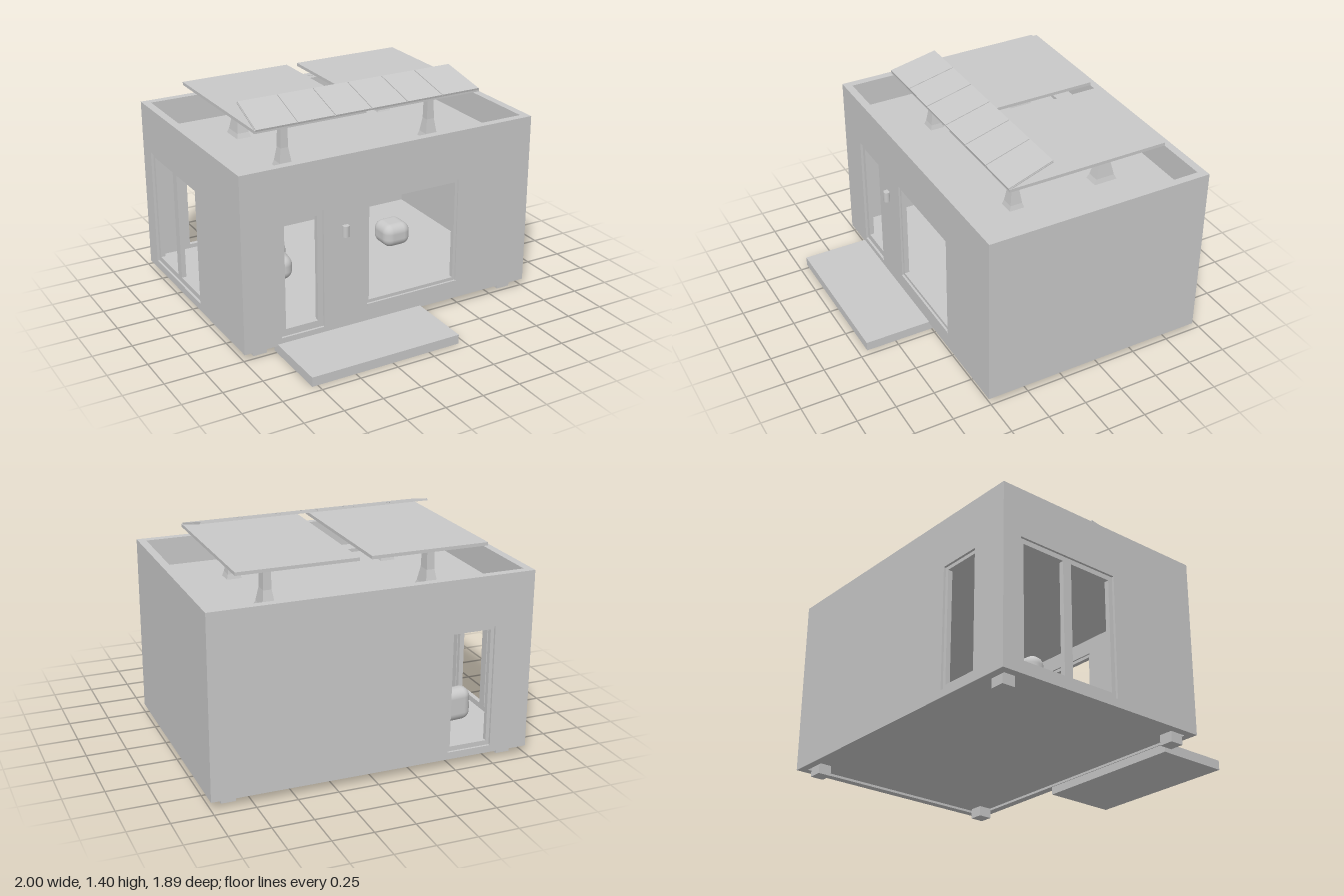
import * as THREE from 'three';
import { RoundedBoxGeometry } from 'three/addons/geometries/RoundedBoxGeometry.js';

export function createModel() {
  const model = new THREE.Group();
  const grey = new THREE.MeshStandardMaterial({ color: 0xc8c8c8 });
  grey.name = 'plainGrey';

  const add = (name, geometry, x = 0, y = 0, z = 0, parent = model) => {
    const mesh = new THREE.Mesh(geometry, grey);
    mesh.name = name;
    mesh.position.set(x, y, z);
    parent.add(mesh);
    return mesh;
  };

  // Box given by its limits on each axis
  const box = (name, [x0, x1], [y0, y1], [z0, z1]) =>
    add(name, new THREE.BoxGeometry(x1 - x0, y1 - y0, z1 - z0), (x0 + x1) / 2, (y0 + y1) / 2, (z0 + z1) / 2);

  const trace = (path, [x0, x1, y0, y1]) => {
    path.moveTo(x0, y0);
    path.lineTo(x1, y0);
    path.lineTo(x1, y1);
    path.lineTo(x0, y1);
    path.closePath();
    return path;
  };

  // Upright slab with rectangular openings, extruded along +z
  const slab = (rect, holes, depth) => {
    const shape = trace(new THREE.Shape(), rect);
    for (const hole of holes) shape.holes.push(trace(new THREE.Path(), hole));
    return new THREE.ExtrudeGeometry(shape, { depth, bevelEnabled: false });
  };

  // Walls, running up past the roof as a parapet
  const base = 0.05, top = 1.175, t = 0.05;
  const front = 0.515, back = -0.945;
  const door = [-0.755, -0.47, 0.095, 0.86];
  const picture = [-0.175, 0.47, 0.165, 0.86];
  const sliding = [-0.82, -0.12, 0.1, 0.87];
  add('frontWall', slab([-1, 1, base, top], [door, picture], t), 0, 0, front - t);
  add('backWall', slab([-1, 1, base, top], [door], t), 0, 0, back);
  const side = [back + t, front - t, base, top];
  add('leftWall', slab(side, [], t), 1).rotation.y = -Math.PI / 2;
  add('rightWall', slab(side, [sliding], t), -1 + t).rotation.y = -Math.PI / 2;

  // Roof deck and floor
  box('roof', [-0.95, 0.95], [0.96, 1.0], [back + t, front - t]);
  box('floor', [-0.95, 0.95], [0.065, 0.1], [back + t, front - t]);

  // Door and window frames, set a little behind the wall faces
  const inset = ([x0, x1, y0, y1], side, low, high) => [x0 + side, x1 - side, y0 + low, y1 - high];
  add('doorFrame', slab(door, [inset(door, 0.035, 0.045, 0.035)], 0.03), 0, 0, front - 0.045);
  add('pictureWindowFrame', slab(picture, [inset(picture, 0.018, 0.028, 0.02)], 0.03), 0, 0, front - 0.04);
  add('backWindowFrame', slab(door, [inset(door, 0.022, 0.03, 0.022)], 0.03), 0, 0, back + 0.015);
  const mid = (sliding[0] + sliding[1]) / 2;
  const panes = [[sliding[0], mid], [mid, sliding[1]]].map(([a, b]) =>
    inset([a, b, sliding[2], sliding[3]], 0.03, 0.035, 0.03));
  add('slidingDoorFrame', slab(sliding, panes, 0.03), -0.955).rotation.y = -Math.PI / 2;
  box('windowSill', [-0.175, 0.475], [0.155, 0.172], [front - 0.04, front + 0.004]);

  // Wall lamp
  add('wallLamp', new THREE.CylinderGeometry(0.021, 0.021, 0.07, 20), -0.33, 0.7, front + 0.014);

  // Entrance step and feet
  box('entranceDeck', [-0.785, 0.21], [0, 0.06], [0.47, 0.945]);
  for (const x of [-0.88, 0.88]) {
    box('frontFoot', [x - 0.045, x + 0.045], [0, 0.07], [0.38, 0.47]);
    box('backFoot', [x - 0.045, x + 0.045], [0, 0.07], [-0.885, -0.8]);
  }

  // Square posts with flared bases, tied by rails
  const profile = [[0.068, 0], [0.055, 0.03], [0.036, 0.12], [0.031, 0.285]];
  let post = new THREE.LatheGeometry(profile.map(([r, y]) => new THREE.Vector2(r, y)), 4);
  post.rotateY(Math.PI / 4);
  post = post.toNonIndexed();
  post.computeVertexNormals();
  for (const x of [-0.515, 0.515]) {
    add('frontPost', post, x, 1.0, 0.093);
    add('backPost', post, x, 1.0, -0.52).scale.z = 1.6;
    box('sideRail', [x - 0.025, x + 0.025], [1.28, 1.3], [-0.56, 0.115]);
  }
  for (const z of [0.093, -0.52]) box('crossRail', [-0.635, 0.635], [1.28, 1.3], [z - 0.02, z + 0.02]);

  // Two flat roof panels
  for (const s of [-1, 1]) {
    add('flatPanel', new THREE.BoxGeometry(0.738, 0.02, 1.035), s * 0.407, 1.31, -0.255);
  }

  // Tilted panel: a thin tapered backing carrying six tiles
  const tilted = new THREE.Group();
  tilted.name = 'tiltedPanel';
  tilted.position.set(0, 1.312, 0.265);
  tilted.rotation.x = -Math.atan2(0.3, 0.08);
  model.add(tilted);
  const taper = (x0, x1, depth) => {
    const shape = new THREE.Shape([[x0, 0], [x1, 0], [x1 * 0.965, 0.31], [x0 * 0.965, 0.31]]
      .map(([x, y]) => new THREE.Vector2(x, y)));
    return new THREE.ExtrudeGeometry(shape, { depth, bevelEnabled: false });
  };
  add('tiltedPanelBacking', taper(-0.772, 0.772, 0.007), 0, 0, 0, tilted);
  const seams = [-0.772, -0.5, -0.25, 0, 0.25, 0.5, 0.772];
  for (let i = 0; i < 6; i++) {
    add('panelTile', taper(seams[i] + 0.003, seams[i + 1] - 0.003, 0.006), 0, 0, 0.007, tilted);
  }

  // Two soft chairs, each a plump seat with a raised back
  const chair = (x, z, turn) => {
    const group = new THREE.Group();
    group.name = 'softChair';
    group.position.set(x, 0.1, z);
    group.rotation.y = turn;
    model.add(group);
    add('chairSeat', new RoundedBoxGeometry(0.25, 0.16, 0.24, 5, 0.06), 0, 0.08, 0, group);
    add('chairBack', new RoundedBoxGeometry(0.24, 0.21, 0.12, 5, 0.055), 0, 0.11, -0.06, group);
  };
  chair(-0.69, -0.48, 0.1);
  chair(-0.45, -0.25, -0.15);

  // Cabinet on the back wall with a shelf front, low table and cushion
  box('wallCabinet', [-0.06, 0.6], [0.31, 0.94], [-0.895, -0.82]);
  box('cabinetShelf', [-0.06, 0.6], [0.31, 0.52], [-0.82, -0.72]);
  add('lowTable', new RoundedBoxGeometry(0.2, 0.13, 0.14, 3, 0.02), 0.14, 0.165, -0.5);
  add('floorCushion', new RoundedBoxGeometry(0.2, 0.16, 0.2, 4, 0.06), 0.5, 0.18, -0.3);

  return model;
}
